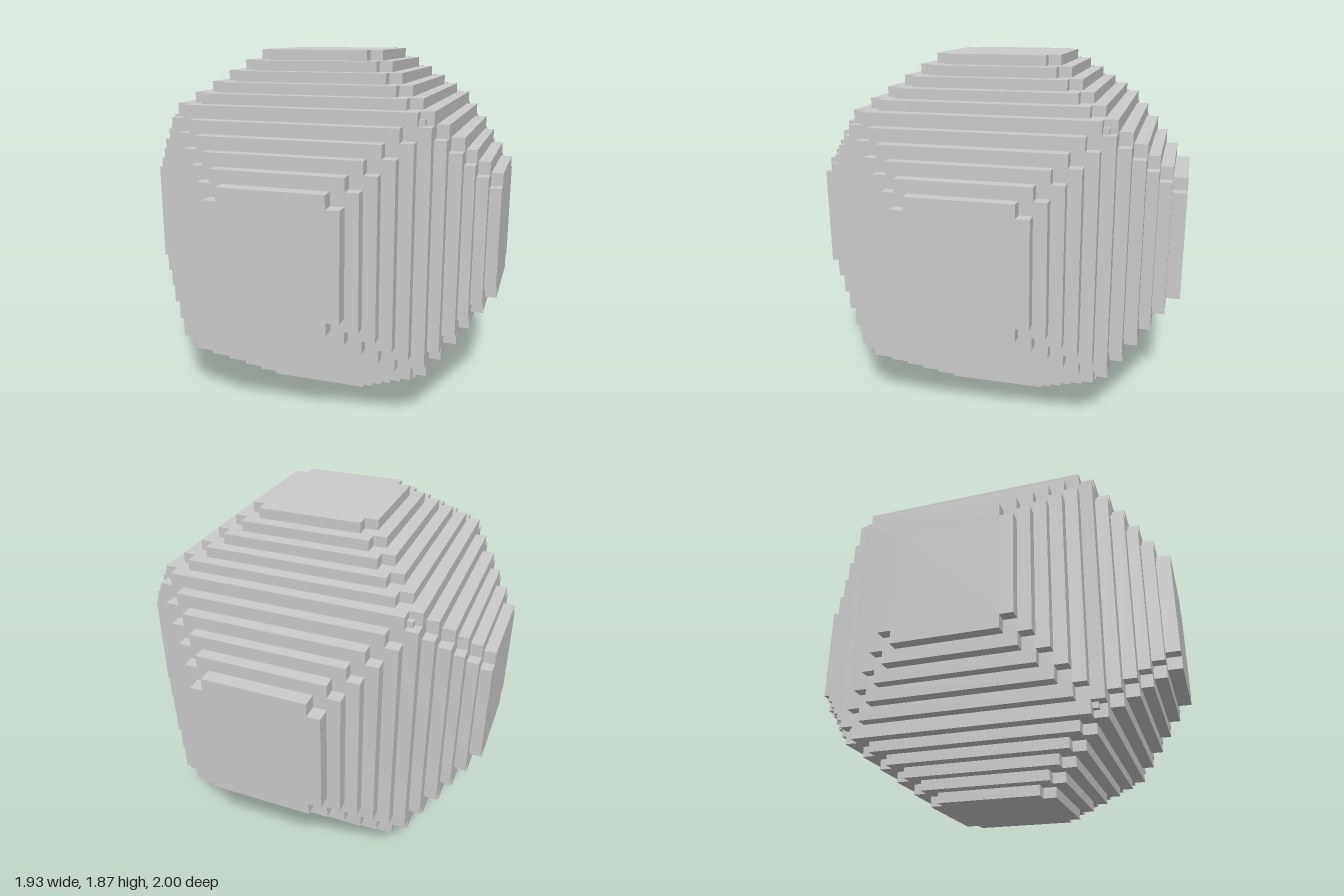
import * as THREE from 'three';

const STEP = 1 / 15;   // width of each terrace step
const CORE = 2 / 3;    // half size of the core
const CENTRE_Y = 0.933;

// Terrace heights from the centre, outermost first, ending at the core
const LEVELS = {
  x: [0.967, 0.907, 0.847, 0.793, 0.727, CORE],
  y: [0.933, 0.88, 0.827, 0.773, 0.72, CORE],
  z: [1, 0.925, 0.86, 0.8, 0.733, CORE],
};

// Square with a small square notch cut from every corner
function notchedSquare(half) {
  const a = half, b = half - STEP;
  return new THREE.Shape([
    [a, -b], [a, b], [b, b], [b, a], [-b, a], [-b, b],
    [-a, b], [-a, -b], [-b, -b], [-b, -a], [b, -a], [b, -b],
  ].map(([x, y]) => new THREE.Vector2(x, y)));
}

export function createModel() {
  const model = new THREE.Group();
  const material = new THREE.MeshStandardMaterial({ color: 0xcccccc, flatShading: true });
  const body = new THREE.Group();
  body.position.y = CENTRE_Y;
  model.add(body);

  const addBox = (name, w, h, d) => {
    const mesh = new THREE.Mesh(new THREE.BoxGeometry(2 * w, 2 * h, 2 * d), material);
    mesh.name = name;
    body.add(mesh);
  };

  // Core: three crossed slabs leave notched corners, with a small cube tip in each
  const inner = CORE - STEP;
  addBox('coreSlabX', inner, CORE, CORE);
  addBox('coreSlabY', CORE, inner, CORE);
  addBox('coreSlabZ', CORE, CORE, inner);
  addBox('coreCornerCube', 0.63, 0.63, 0.63);

  // Stepped pyramid of notched plates on each of the six sides
  const sides = [
    ['front', 'z', 0, 0], ['back', 'z', 0, Math.PI],
    ['left', 'x', 0, Math.PI / 2], ['right', 'x', 0, -Math.PI / 2],
    ['top', 'y', -Math.PI / 2, 0], ['bottom', 'y', Math.PI / 2, 0],
  ];
  for (const [name, axis, rx, ry] of sides) {
    const side = new THREE.Group();
    side.name = name + 'Terraces';
    side.rotation.set(rx, ry, 0);
    const levels = LEVELS[axis];
    for (let k = 0; k < 5; k++) {
      const geometry = new THREE.ExtrudeGeometry(notchedSquare((5 + k) * STEP), {
        depth: levels[k] - levels[k + 1], bevelEnabled: false,
      });
      const plate = new THREE.Mesh(geometry, material);
      plate.name = name + 'Plate' + (k + 1);
      plate.position.z = levels[k + 1];
      side.add(plate);
    }
    body.add(side);
  }
  return model;
}
